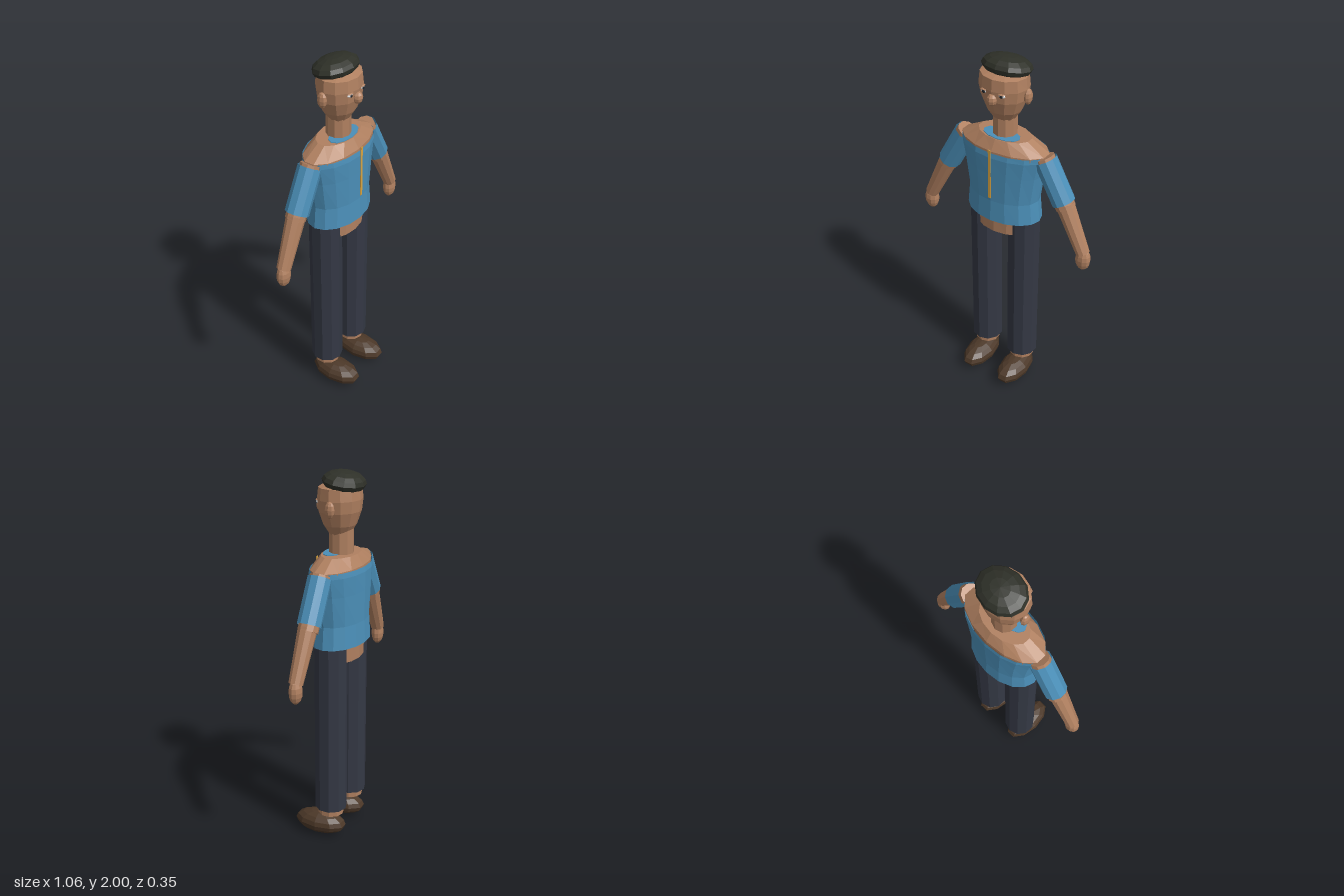
import * as THREE from 'three';

const mat = (name, color, side = THREE.FrontSide) => {
  const m = new THREE.MeshStandardMaterial({ color, side, flatShading: true });
  m.name = name;
  return m;
};

export function createModel() {
  const model = new THREE.Group();
  model.name = 'standingMan';
  const skin = mat('skin', 0xb08060);
  const shirtBlue = mat('shirtBlue', 0x4b8fb8, THREE.DoubleSide);
  const navy = mat('trouserNavy', 0x343844, THREE.DoubleSide);
  const brown = mat('shoeBrown', 0x4c3828);
  const hairDark = mat('hairDark', 0x2e3028);
  const zipGold = mat('zipGold', 0xd9a441);
  const eyeWhite = mat('eyeWhite', 0xd8dde0);
  const eyeDark = mat('eyeDark', 0x22262c);
  const MID = -0.04; // depth of the body's axis

  const add = (name, geo, material, x = 0, y = 0, z = 0) => {
    const mesh = new THREE.Mesh(geo, material);
    mesh.name = name;
    mesh.position.set(x, y, z);
    model.add(mesh);
    return mesh;
  };

  // Low-poly ellipsoid
  const ball = (name, material, x, y, z, rx, ry, rz, w = 10, h = 8) =>
    add(name, new THREE.SphereGeometry(1, w, h).scale(rx, ry, rz), material, x, y, z);

  // Elliptical body from rows of [y, half width, half depth]
  const body = (name, material, rows, z, segs) => {
    const geo = new THREE.LatheGeometry(rows.map(([y, rx]) => new THREE.Vector2(rx, y)), segs);
    const p = geo.attributes.position;
    for (let i = 0; i < p.count; i++) {
      const [, rx, rz] = rows[i % rows.length];
      if (rx > 0) p.setZ(i, p.getZ(i) * rz / rx);
    }
    geo.computeVertexNormals();
    return add(name, geo, material, 0, 0, z);
  };

  // Tapered limb from a (top) to b (bottom)
  const limb = (name, material, a, b, rTop, rBottom, open = false) => {
    const top = new THREE.Vector3(...a), bottom = new THREE.Vector3(...b);
    const dir = top.clone().sub(bottom);
    const geo = new THREE.CylinderGeometry(rTop, rBottom, dir.length(), 10, 1, open);
    const mesh = add(name, geo, material);
    mesh.position.copy(top).add(bottom).multiplyScalar(0.5);
    mesh.quaternion.setFromUnitVectors(new THREE.Vector3(0, 1, 0), dir.normalize());
    return mesh;
  };

  // Torso and shirt
  body('torso', skin, [
    [1.03, 0, 0], [1.03, 0.165, 0.107], [1.13, 0.175, 0.108], [1.25, 0.17, 0.105],
    [1.42, 0.2, 0.115], [1.51, 0.252, 0.124], [1.53, 0.252, 0.123],
    [1.585, 0.15, 0.09], [1.585, 0, 0],
  ], MID, 14);
  body('shirt', shirtBlue, [
    [1.12, 0.215, 0.138], [1.24, 0.203, 0.132], [1.4, 0.226, 0.135],
    [1.5, 0.247, 0.137], [1.527, 0.247, 0.133],
  ], MID, 16);
  add('collar', new THREE.CylinderGeometry(1, 1, 0.006, 12).scale(0.105, 1, 0.055),
    shirtBlue, 0, 1.585, -0.01);
  add('zip', new THREE.BoxGeometry(0.014, 0.285, 0.004), zipGold, 0, 1.405, 0.1);

  // Neck and head
  limb('neck', skin, [0, 1.72, MID], [0, 1.57, MID], 0.064, 0.064);
  body('head', skin, [
    [1.672, 0, 0], [1.676, 0.056, 0.05], [1.73, 0.094, 0.083], [1.8, 0.122, 0.106],
    [1.86, 0.131, 0.112], [1.92, 0.125, 0.106], [1.955, 0, 0],
  ], -0.033, 12);
  const hair = ball('hair', hairDark, 0, 1.945, -0.055, 0.133, 0.053, 0.108, 12, 8);
  hair.rotation.x = -0.18;
  ball('nose', skin, 0, 1.815, 0.073, 0.027, 0.032, 0.027, 8, 6);

  for (const s of [1, -1]) {
    const side = s > 0 ? 'left' : 'right';
    // Face details
    ball(side + 'Ear', skin, s * 0.132, 1.823, MID, 0.02, 0.042, 0.027, 8, 6);
    ball(side + 'Eye', eyeWhite, s * 0.05, 1.845, 0.062, 0.019, 0.01, 0.012, 8, 6);
    ball(side + 'Iris', eyeDark, s * 0.05, 1.845, 0.071, 0.009, 0.009, 0.005, 8, 6);
    ball(side + 'Eyelid', skin, s * 0.05, 1.854, 0.063, 0.021, 0.005, 0.014, 8, 4);

    // Arm with short sleeve
    limb(side + 'UpperArm', skin, [s * 0.232, 1.519, MID], [s * 0.368, 1.27, MID], 0.053, 0.053);
    limb(side + 'Sleeve', shirtBlue, [s * 0.238, 1.508, MID], [s * 0.354, 1.297, MID], 0.062, 0.062, true);
    limb(side + 'Forearm', skin, [s * 0.362, 1.29, -0.038], [s * 0.484, 1.035, -0.033], 0.05, 0.037);
    ball(side + 'Hand', skin, s * 0.486, 0.998, -0.033, 0.042, 0.066, 0.034);

    // Leg, trouser and shoe
    limb(side + 'Leg', skin, [s * 0.12, 1.1, MID], [s * 0.12, 0.14, MID], 0.07, 0.07);
    limb(side + 'Trouser', navy, [s * 0.12, 1.16, MID], [s * 0.12, 0.177, MID], 0.087, 0.087, true);
    ball(side + 'Shoe', brown, s * 0.12, 0.063, 0.025, 0.08, 0.063, 0.15);
  }
  return model;
}
